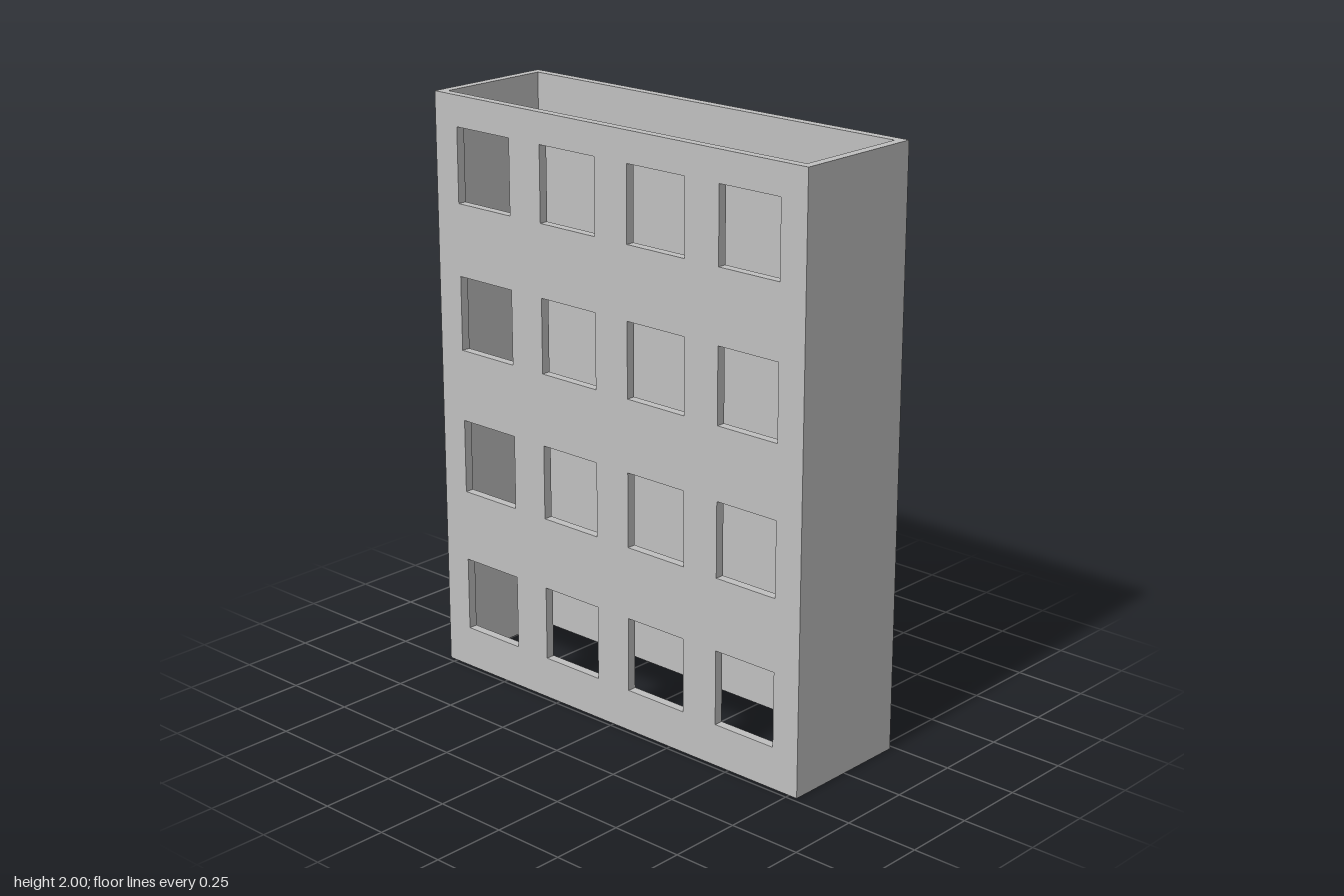
import * as THREE from 'three';

const W = 1.5625, H = 2, D = 0.469, T = 0.031; // outer size and wall thickness
const WIN_W = 0.238, WIN_H = 0.254;

export function createModel() {
  const model = new THREE.Group();
  model.name = 'buildingShell';
  const concrete = new THREE.MeshStandardMaterial({ color: 0xc0c0c0 });
  concrete.name = 'concrete grey';

  const add = (name, geometry, x, y, z) => {
    const mesh = new THREE.Mesh(geometry, concrete);
    mesh.name = name;
    mesh.position.set(x, y, z);
    model.add(mesh);
  };

  // Front wall pierced by a 4 x 4 grid of window openings
  const facade = new THREE.Shape();
  facade.moveTo(-W / 2, 0);
  facade.lineTo(W / 2, 0);
  facade.lineTo(W / 2, H);
  facade.lineTo(-W / 2, H);
  facade.closePath();
  for (let row = 0; row < 4; row++) {
    for (let col = 0; col < 4; col++) {
      const x = (col - 1.5) * 0.375 - WIN_W / 2;
      const y = 0.269 + row * 0.5 - WIN_H / 2;
      const hole = new THREE.Path();
      hole.moveTo(x, y);
      hole.lineTo(x, y + WIN_H);
      hole.lineTo(x + WIN_W, y + WIN_H);
      hole.lineTo(x + WIN_W, y);
      hole.closePath();
      facade.holes.push(hole);
    }
  }
  const facadeGeometry = new THREE.ExtrudeGeometry(facade, { depth: T, bevelEnabled: false });
  add('frontWall', facadeGeometry, 0, 0, D / 2 - T);

  // Plain back wall
  add('backWall', new THREE.BoxGeometry(W, H, T), 0, H / 2, -D / 2 + T / 2);

  // Side walls between front and back; top and bottom stay open
  for (const [name, side] of [['leftWall', 1], ['rightWall', -1]]) {
    add(name, new THREE.BoxGeometry(T, H, D - 2 * T), side * (W - T) / 2, H / 2, 0);
  }
  return model;
}
